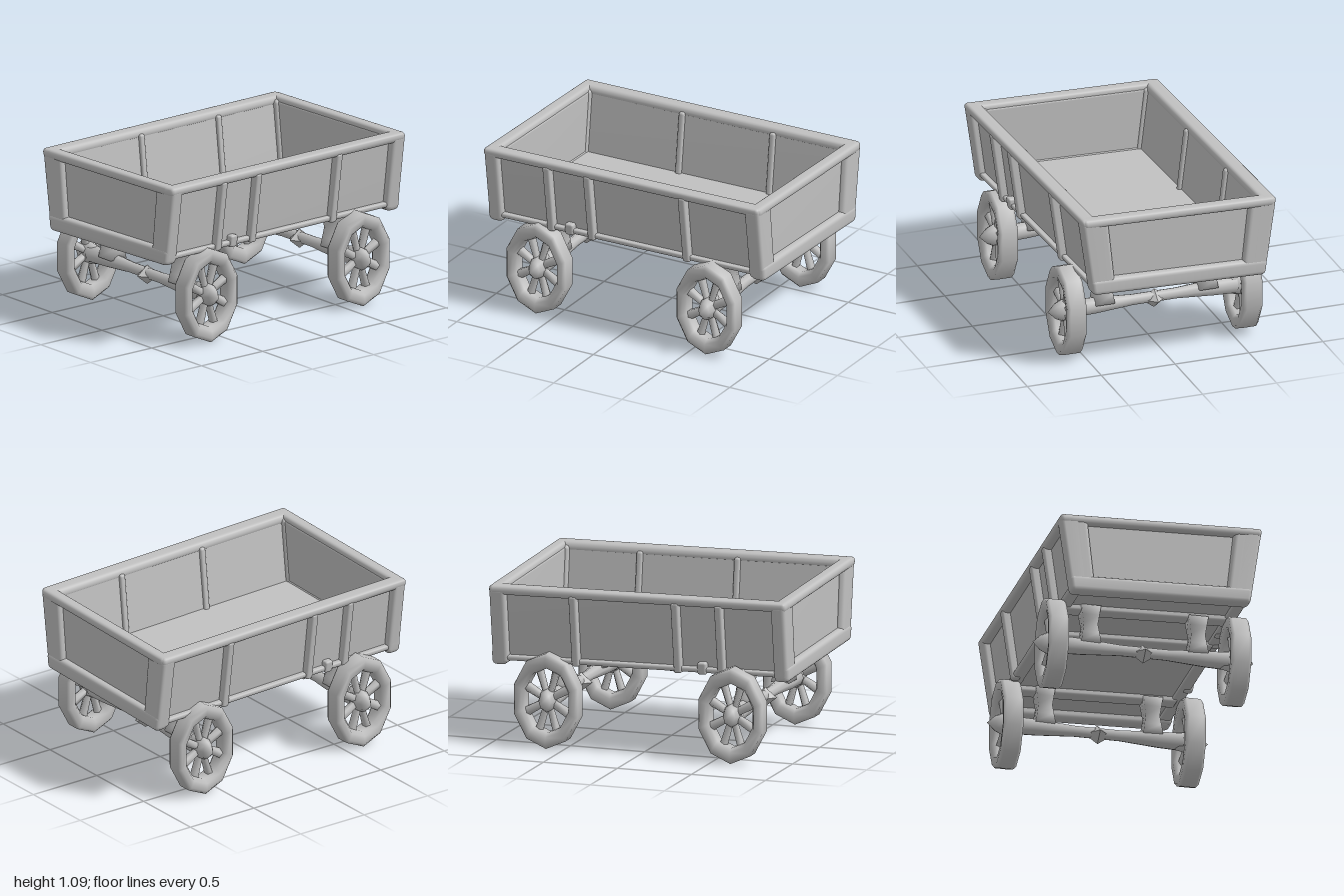
import * as THREE from 'three';
import { mergeVertices } from 'three/addons/utils/BufferGeometryUtils.js';
import { RoundedBoxGeometry } from 'three/addons/geometries/RoundedBoxGeometry.js';

const grey = new THREE.MeshStandardMaterial({ color: 0xc0c0c0 });
grey.name = 'weathered grey';

// Share vertices so worn edges shade softly
function soften(geometry) {
  geometry.deleteAttribute('normal');
  geometry.deleteAttribute('uv');
  const merged = mergeVertices(geometry, 1e-4);
  merged.computeVertexNormals();
  return merged;
}

function add(parent, name, geometry) {
  const mesh = new THREE.Mesh(geometry, grey);
  mesh.name = name;
  parent.add(mesh);
  return mesh;
}

// Rounded block given by its extents
function block(x0, x1, y0, y1, z0, z1, r = 0.015) {
  const w = x1 - x0, h = y1 - y0, d = z1 - z0;
  const g = new RoundedBoxGeometry(w, h, d, 2, Math.min(r, w / 2.1, h / 2.1, d / 2.1));
  return g.translate((x0 + x1) / 2, (y0 + y1) / 2, (z0 + z1) / 2);
}

// The bed narrows towards its floor and sits slightly crooked
function warp(geometry) {
  const p = geometry.attributes.position;
  for (let i = 0; i < p.count; i++) {
    const x = p.getX(i), y = p.getY(i), z = p.getZ(i);
    const taper = 1 - 0.11 * (1.08 - y) / 0.5;
    p.setXYZ(i, x * taper + 0.038 * z, y + 0.025 * x + 0.008 * z, z);
  }
  return soften(geometry);
}

function createBed() {
  const bed = new THREE.Group();
  bed.name = 'bed';
  const put = (name, ...extents) => add(bed, name, warp(block(...extents)));

  put('floor', -0.6, 0.6, 0.6, 0.645, -0.94, 0.94);
  for (const s of [-1, 1]) {
    const side = (name, xa, xb, ...rest) =>
      put(name, Math.min(s * xa, s * xb), Math.max(s * xa, s * xb), ...rest);
    // Long walls with rim, sill and upright ribs
    side('sidePanel', 0.56, 0.61, 0.6, 1.05, -0.95, 0.95);
    side('sideRim', 0.555, 0.66, 1.02, 1.08, -0.985, 0.99, 0.025);
    side('sideSill', 0.56, 0.65, 0.58, 0.615, -0.97, 0.97);
    for (const z of [0.54, 0.25, -0.43]) side('sideRib', 0.6, 0.665, 0.57, 1.04, z - 0.025, z + 0.025);
    for (const z of [0.24, -0.41]) side('innerRib', 0.535, 0.57, 0.63, 1.05, z - 0.02, z + 0.02);
    side('sillBracket', 0.57, 0.66, 0.57, 0.65, 0.38, 0.44);
    // Corner posts
    side('frontPost', 0.53, 0.66, 0.56, 1.06, 0.89, 0.985, 0.025);
    side('backPost', 0.53, 0.66, 0.56, 1.06, -0.985, -0.88, 0.025);
  }
  // End walls: recessed panel inside a frame
  for (const s of [-1, 1]) {
    const end = (name, x0, x1, y0, y1, za, zb, r) =>
      put(name, x0, x1, y0, y1, Math.min(s * za, s * zb), Math.max(s * za, s * zb), r);
    end('endPanel', -0.6, 0.6, 0.6, 1.05, 0.9, 0.945, 0.015);
    end('endRim', -0.65, 0.65, 1.02, 1.08, 0.905, 0.99, 0.025);
    end('endSill', -0.66, 0.66, 0.55, 0.66, 0.89, 0.99, 0.03);
    for (const t of [-1, 1]) {
      const xs = [t * 0.48, t * 0.65].sort((a, b) => a - b);
      end('endStile', ...xs, 0.57, 1.05, 0.92, 0.985, 0.03);
    }
  }
  // Cross members beneath the floor
  for (const z of [0.62, 0.22, -0.62]) {
    put('crossMember', -0.6, 0.6, 0.565, 0.62, z - 0.05, z + 0.05);
  }
  return bed;
}

// Lathe turned so that its axis runs along x; profile is [radius, x]
function turned(profile, sides, start = 0) {
  const points = profile.map(([r, x]) => new THREE.Vector2(r, x));
  return soften(new THREE.LatheGeometry(points, sides, start).rotateZ(-Math.PI / 2));
}

// Wheel facing +x, squeezed along z, with a corner pointing down
function createWheel() {
  const wheel = new THREE.Group();
  wheel.name = 'wheel';
  add(wheel, 'rim', turned([
    [0.21, -0.04], [0.235, -0.065], [0.29, -0.065], [0.31, -0.045],
    [0.31, 0.045], [0.285, 0.065], [0.235, 0.06], [0.21, 0.03], [0.21, -0.04],
  ], 10, Math.PI / 2));
  add(wheel, 'hub', turned([
    [0, -0.1], [0.06, -0.09], [0.075, -0.02], [0.075, 0.03], [0.055, 0.07], [0, 0.125],
  ], 8));
  for (let i = 0; i < 8; i++) {
    const spoke = new THREE.CylinderGeometry(0.036, 0.028, 0.19, 5, 1, true);
    spoke.translate(0, 0.145, 0).rotateX((i + 0.5) * Math.PI / 4);
    add(wheel, 'spoke', soften(spoke));
  }
  wheel.scale.z = 0.73;
  return wheel;
}

function createAxle() {
  const axle = new THREE.Group();
  axle.name = 'axle';
  add(axle, 'axleBeam', turned([
    [0, -0.56], [0.06, -0.55], [0.055, -0.4], [0.037, -0.15],
    [0.037, 0.15], [0.055, 0.4], [0.06, 0.55], [0, 0.56],
  ], 8));
  const boss = add(axle, 'axleBoss', new THREE.OctahedronGeometry(0.08));
  boss.position.y = -0.01;
  boss.scale.set(1.1, 0.8, 1);
  for (const s of [-1, 1]) {
    // Waisted struts carrying the bed
    const strut = new THREE.CylinderGeometry(0.09, 0.09, 0.25, 4, 4, false, Math.PI / 4);
    const p = strut.attributes.position;
    for (let i = 0; i < p.count; i++) {
      const k = 0.72 + 0.28 * Math.abs(p.getY(i)) / 0.125;
      p.setX(i, p.getX(i) * k);
      p.setZ(i, p.getZ(i) * k);
    }
    add(axle, 'strut', soften(strut)).position.set(s * 0.35, 0.145, 0);
  }
  return axle;
}

export function createModel() {
  const wagon = new THREE.Group();
  wagon.name = 'wagon';
  wagon.add(createBed());
  for (const z of [0.63, -0.615]) {
    const axle = createAxle();
    axle.position.set(0, 0.32, z);
    wagon.add(axle);
    for (const s of [-1, 1]) {
      const wheel = createWheel();
      wheel.position.set(s * 0.595, 0.32, z);
      if (s < 0) wheel.rotation.y = Math.PI;
      wagon.add(wheel);
    }
  }
  return wagon;
}
